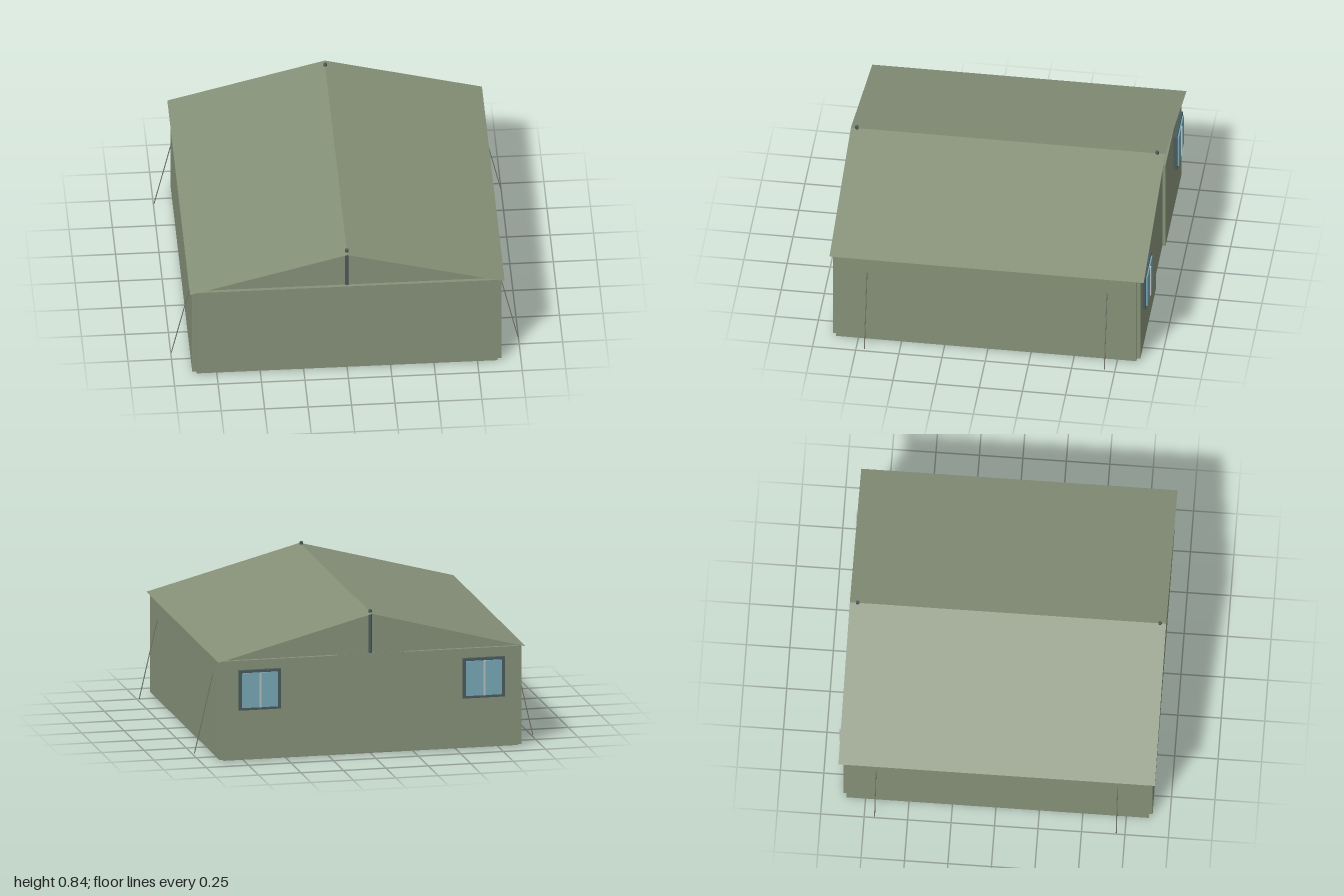
import * as THREE from 'three';

function material(name, color, side = THREE.FrontSide) {
  const m = new THREE.MeshStandardMaterial({ color, side });
  m.name = name;
  return m;
}

export function createModel() {
  const canvas = material('olive canvas', 0x869178);
  const sheet = material('olive canvas', 0x869178, THREE.DoubleSide);
  const ground = material('floor grey', 0x85837a);
  const slate = material('dark slate', 0x4a5a5c);
  const glass = material('glass blue', 0x78a8b7);
  const pale = material('pale grey', 0xb8c0c0);
  const cord = material('rope grey', 0x77786c);

  const tent = new THREE.Group();
  tent.name = 'tent';

  function add(name, geometry, mat, parent = tent) {
    const mesh = new THREE.Mesh(geometry, mat);
    mesh.name = name;
    parent.add(mesh);
    return mesh;
  }

  // Box given by its limits on each axis
  function box(name, mat, [x0, x1], [y0, y1], [z0, z1], parent) {
    const mesh = add(name, new THREE.BoxGeometry(x1 - x0, y1 - y0, z1 - z0), mat, parent);
    mesh.position.set((x0 + x1) / 2, (y0 + y1) / 2, (z0 + z1) / 2);
    return mesh;
  }

  // Round bar between two points
  function bar(name, mat, a, b, radius, sides) {
    const from = new THREE.Vector3(...a), to = new THREE.Vector3(...b);
    const dir = to.clone().sub(from);
    const mesh = add(name, new THREE.CylinderGeometry(radius, radius, dir.length(), sides), mat);
    mesh.position.copy(from).add(to).multiplyScalar(0.5);
    mesh.quaternion.setFromUnitVectors(new THREE.Vector3(0, 1, 0), dir.normalize());
    return mesh;
  }

  // Floor and walls
  const wallY = [0.006, 0.59];
  box('floor', ground, [-0.865, 0.865], [0, 0.01], [-0.86, 0.88]);
  box('frontWall', canvas, [-0.865, 0.865], wallY, [0.88, 0.9]);
  box('leftWall', canvas, [0.865, 0.89], wallY, [-0.86, 0.88]);
  box('rightWall', canvas, [-0.89, -0.865], wallY, [-0.86, 0.88]);
  box('backWallLeft', canvas, [0.2, 0.865], wallY, [-0.88, -0.86]);
  box('backWallRight', canvas, [-0.865, -0.2], wallY, [-0.88, -0.86]);
  box('doorFlap', canvas, [-0.2, 0.2], wallY, [-0.862, -0.85]);

  // Thin roof slopes meeting at the ridge
  for (const [name, s] of [['roofLeft', 1], ['roofRight', -1]]) {
    const run = 0.905, rise = 0.24;
    const slope = add(name, new THREE.PlaneGeometry(Math.hypot(run, rise), 1.82), sheet);
    slope.geometry.rotateX(-Math.PI / 2);
    slope.rotation.z = -s * Math.atan2(rise, run);
    slope.position.set(s * run / 2, 0.71, 0.005);
  }

  // Gable ends with ridge poles
  const triangle = new THREE.Shape([
    new THREE.Vector2(-0.88, 0.59), new THREE.Vector2(0.88, 0.59), new THREE.Vector2(0, 0.826),
  ]);
  for (const [end, z, turn] of [['front', 0.88, 0], ['back', -0.86, Math.PI]]) {
    const gable = add(end + 'Gable', new THREE.ShapeGeometry(triangle), sheet);
    gable.position.z = z;
    gable.rotation.y = turn;
    bar(end + 'RidgePole', slate, [0, 0.592, z], [0, 0.845, z], 0.01, 12);
  }

  // Two-pane windows in the back wall
  for (const s of [1, -1]) {
    const win = new THREE.Group();
    win.name = s > 0 ? 'leftWindow' : 'rightWindow';
    win.position.x = s * 0.66;
    tent.add(win);
    box('windowFrame', slate, [-0.123, 0.123], [0.3, 0.535], [-0.9, -0.88], win);
    box('windowGlass', glass, [-0.105, 0.105], [0.316, 0.52], [-0.908, -0.899], win);
    box('windowMullion', pale, [-0.006, 0.006], [0.316, 0.52], [-0.915, -0.9], win);
  }

  // Guy ropes staked out on both sides
  for (const s of [1, -1])
    for (const z of [0.7, -0.69])
      bar('guyRope', cord, [s * 0.887, 0.49, z], [s * 0.997, 0.012, z], 0.003, 6);

  return tent;
}
